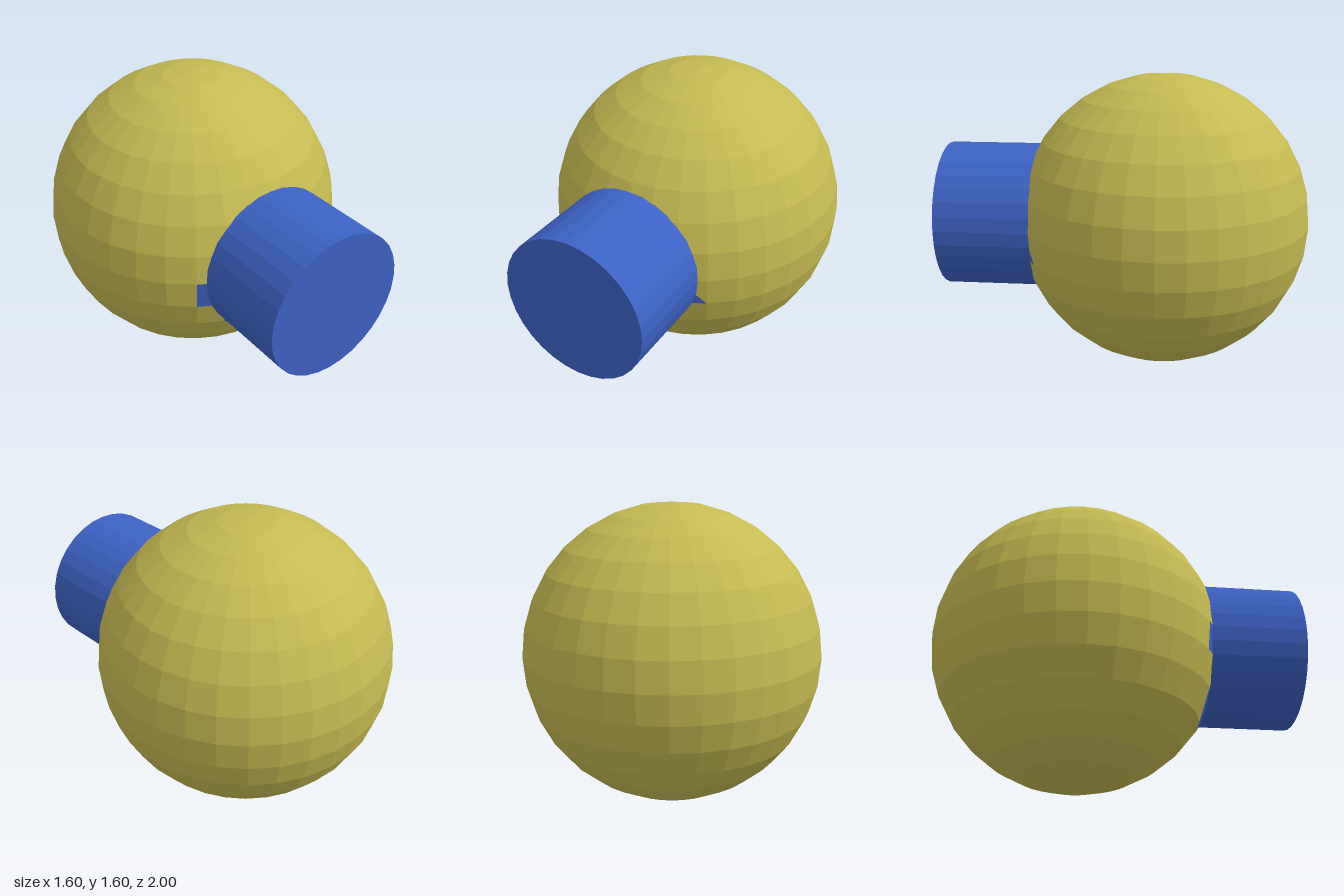
import * as THREE from 'three';

const COLUMNS = 32;
const ROWS = 16;

// Sphere faces stained blue around the barrel: [column, row, triangles (0 upper, 1 lower)]
const STAINED = [
  [5, 8, [0, 1]], [10, 8, [1]],
  [6, 9, [0, 1]], [9, 9, [0, 1]],
  [6, 10, [0]], [7, 10, [0, 1]], [8, 10, [0]],
];

export function createModel() {
  const group = new THREE.Group();
  const yellow = new THREE.MeshStandardMaterial({ color: 0xc6ba52, flatShading: true });
  const blue = new THREE.MeshStandardMaterial({ color: 0x3c62c4, flatShading: true });

  const add = (name, geometry, material, z) => {
    const mesh = new THREE.Mesh(geometry, material);
    mesh.name = name;
    mesh.position.set(0, 0.8, z);
    group.add(mesh);
    return mesh;
  };

  // Sort the sphere's triangles into plain and stained ones (the pole row has one per column)
  const sphere = new THREE.SphereGeometry(0.8, COLUMNS, ROWS);
  const stained = new Set();
  for (const [column, row, triangles] of STAINED) {
    for (const t of triangles) stained.add(COLUMNS + ((row - 1) * COLUMNS + column) * 2 + t);
  }
  const pick = (wanted) => {
    const part = sphere.clone();
    part.setIndex(Array.from(sphere.index.array).filter((_, i) => stained.has(Math.floor(i / 3)) === wanted));
    return part;
  };
  add('ball', pick(false), yellow, -0.2);
  add('ballPatches', pick(true), blue, -0.2);

  // Barrel reaching forward from just inside the ball
  const barrel = new THREE.CylinderGeometry(0.4, 0.4, 0.55, 32).rotateX(Math.PI / 2);
  add('barrel', barrel, blue, 0.725);

  return group;
}
